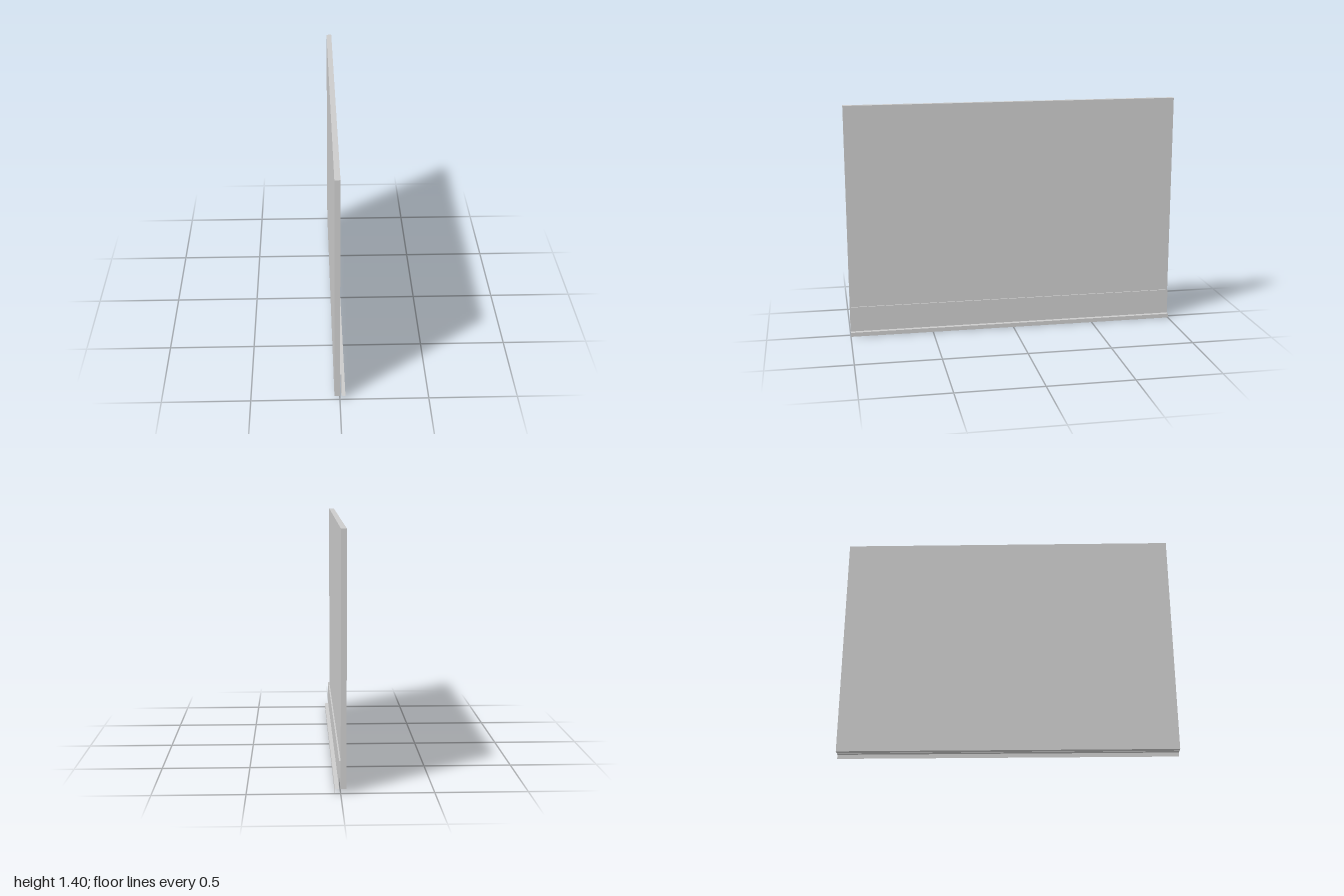
import * as THREE from 'three';

const LENGTH = 2;

// Thin folded sheet: an open x/y profile swept along z, one flat strip per fold
function foldedSheet(profile) {
  const positions = [];
  const h = LENGTH / 2;
  for (let i = 0; i < profile.length - 1; i++) {
    const [ax, ay] = profile[i];
    const [bx, by] = profile[i + 1];
    positions.push(ax, ay, h, bx, by, h, bx, by, -h);
    positions.push(ax, ay, h, bx, by, -h, ax, ay, -h);
  }
  const geometry = new THREE.BufferGeometry();
  geometry.setAttribute('position', new THREE.Float32BufferAttribute(positions, 3));
  geometry.computeVertexNormals();
  return geometry;
}

export function createModel() {
  const group = new THREE.Group();
  group.name = 'wallPanelWithDripFlashing';

  // Upright wall panel
  const panel = new THREE.Mesh(
    new THREE.BoxGeometry(0.031, 1.375, LENGTH),
    new THREE.MeshStandardMaterial({ color: 0xcccccc })
  );
  panel.name = 'wallPanel';
  panel.position.set(-0.0155, 0.025 + 1.375 / 2, 0);
  group.add(panel);

  // Flashing: top return, upstand, ledge and drip lip
  const flashing = new THREE.Mesh(
    foldedSheet([[0, 0.178], [0.008, 0.178], [0.008, 0.026], [0.031, 0.025], [0.031, 0]]),
    new THREE.MeshStandardMaterial({ color: 0xcccccc, side: THREE.DoubleSide })
  );
  flashing.name = 'dripFlashing';
  group.add(flashing);

  return group;
}
